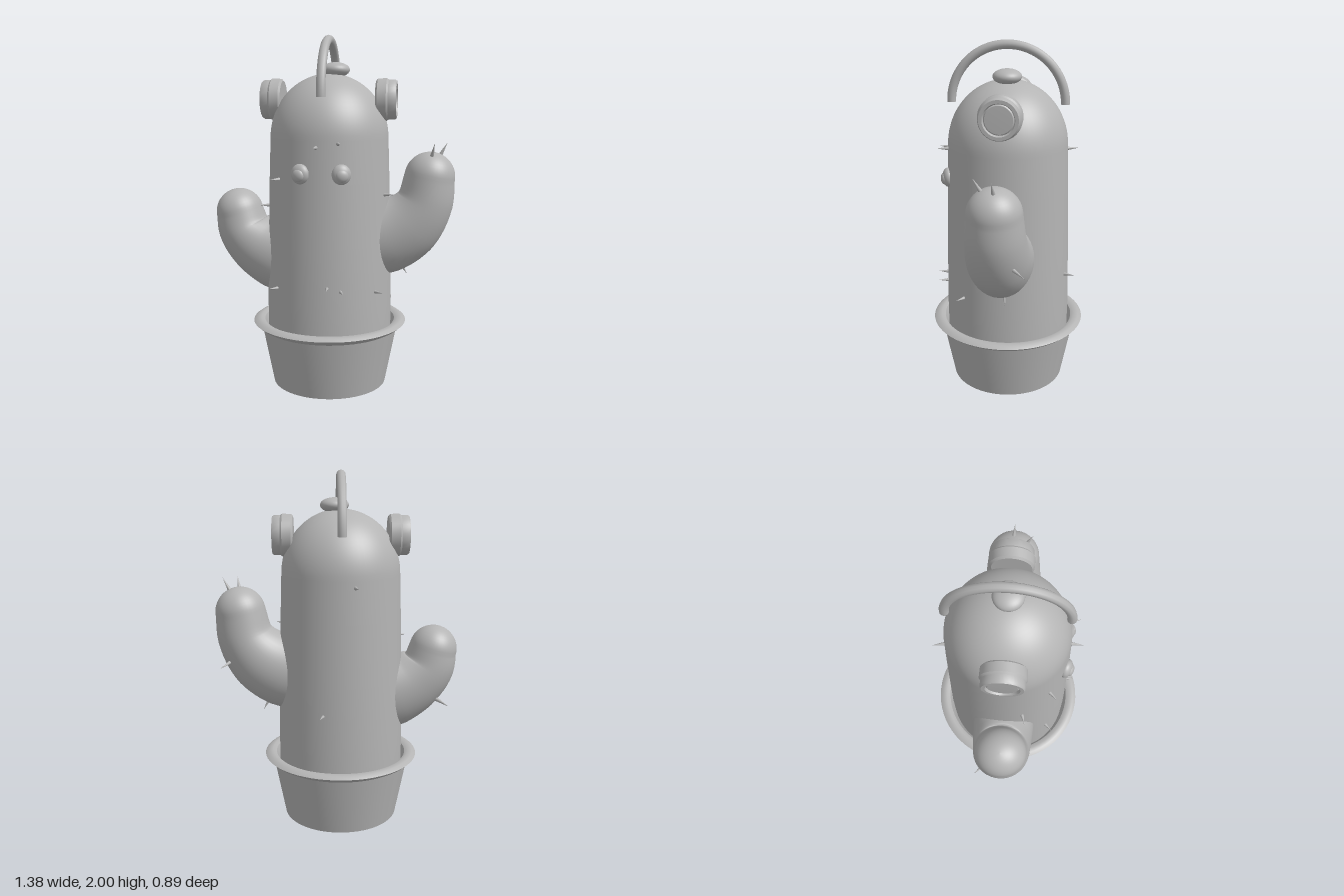
import * as THREE from 'three';
import { toCreasedNormals } from 'three/addons/utils/BufferGeometryUtils.js';

const CX = -0.025; // axis of the pot and trunk
const clay = new THREE.MeshStandardMaterial({ color: 0xb4b4b4 });
clay.name = 'grey clay';

const V = (x, y, z) => new THREE.Vector3(x, y, z);

function part(group, name, geometry, x = 0, y = 0, z = 0) {
  const mesh = new THREE.Mesh(geometry, clay);
  mesh.name = name;
  mesh.position.set(x, y, z);
  group.add(mesh);
  return mesh;
}

const lathe = (points, segments = 64) =>
  new THREE.LatheGeometry(points.map(([r, y]) => new THREE.Vector2(r, y)), segments);

const ellipsoid = (rx, ry, rz) => new THREE.SphereGeometry(1, 32, 20).scale(rx, ry, rz);

// Rounded limb: elliptical sections along a bent centre line, closed by a dome.
// Each station is [x, y, radius in the bend plane, radius in z].
function limb(stations) {
  const path = new THREE.CatmullRomCurve3(stations.map(([x, y]) => V(x, y, 0)));
  const sizes = new THREE.CatmullRomCurve3(stations.map(([, , a, b]) => V(a, b, 0)));
  const rows = 24, capRows = 12, around = 40;
  const positions = [], index = [];
  const ring = (c, t, a, b) => {
    for (let j = 0; j < around; j++) {
      const q = (j / around) * Math.PI * 2;
      const s = a * Math.cos(q);
      positions.push(c.x - t.y * s, c.y + t.x * s, -0.005 + b * Math.sin(q));
    }
  };
  for (let i = 0; i <= rows; i++) {
    const s = sizes.getPoint(i / rows);
    ring(path.getPoint(i / rows), path.getTangent(i / rows), s.x, s.y);
  }
  const [ex, ey, ea, eb] = stations[stations.length - 1];
  const t = path.getTangent(1);
  for (let i = 1; i <= capRows; i++) {
    const q = (i / capRows) * Math.PI / 2;
    const k = Math.max(Math.cos(q), 0.001);
    ring(V(ex, ey, 0).addScaledVector(t, ea * Math.sin(q)), t, ea * k, eb * k);
  }
  for (let i = 0; i < rows + capRows; i++) {
    for (let j = 0; j < around; j++) {
      const a = i * around + j, b = i * around + ((j + 1) % around);
      index.push(a, b, a + around, b, b + around, a + around);
    }
  }
  const g = new THREE.BufferGeometry();
  g.setAttribute('position', new THREE.Float32BufferAttribute(positions, 3));
  g.setIndex(index);
  g.computeVertexNormals();
  return g;
}

// Thin cone from a base point to a tip
function spine(group, base, tip) {
  const dir = tip.clone().sub(base);
  const length = dir.length();
  const g = new THREE.ConeGeometry(0.012, length, 10).translate(0, length / 2, 0);
  const mesh = part(group, 'spine', g, base.x, base.y, base.z);
  mesh.quaternion.setFromUnitVectors(V(0, 1, 0), dir.normalize());
}

export function createModel() {
  const model = new THREE.Group();
  model.name = 'pottedCactus';

  // Pot with a flared lip and a hollow inside
  part(model, 'pot', toCreasedNormals(lathe([
    [0, 0], [0.33, 0], [0.395, 0.335], [0.425, 0.352], [0.445, 0.37],
    [0.425, 0.384], [0.4, 0.388], [0.38, 0.378], [0.368, 0.35], [0.35, 0.26], [0, 0.26],
  ]), 0.7), CX);

  // Trunk with a domed top
  const dome = [];
  for (let i = 0; i <= 20; i++) {
    const q = (i / 20) * Math.PI / 2;
    dome.push([0.335 * Math.cos(q), 1.43 + 0.36 * Math.sin(q)]);
  }
  part(model, 'trunk', lathe([[0.358, 0.25], [0.36, 0.5], [0.352, 0.85], [0.343, 1.2], ...dome]), CX);
  part(model, 'topKnob', ellipsoid(0.08, 0.042, 0.08), 0.01, 1.81, 0);

  // Arms, the left one taller
  part(model, 'leftArm', limb([
    [0.18, 0.85, 0.22, 0.18], [0.31, 0.875, 0.215, 0.178], [0.43, 0.945, 0.195, 0.172],
    [0.515, 1.06, 0.162, 0.16], [0.545, 1.215, 0.142, 0.145],
  ]));
  part(model, 'rightArm', limb([
    [-0.23, 0.73, 0.23, 0.18], [-0.34, 0.755, 0.215, 0.178], [-0.45, 0.81, 0.185, 0.17],
    [-0.53, 0.89, 0.155, 0.16], [-0.56, 0.995, 0.136, 0.145],
  ]));

  // Headset: an ear cup on each side and a band from front to back
  for (const side of [-1, 1]) {
    const g = toCreasedNormals(lathe([
      [0, 0.265], [0.105, 0.265], [0.116, 0.275], [0.118, 0.325], [0.11, 0.335],
      [0.11, 0.37], [0.104, 0.38], [0.086, 0.38], [0.08, 0.366], [0.074, 0.372], [0, 0.374],
    ], 40), 0.6);
    part(model, side > 0 ? 'leftEarCup' : 'rightEarCup', g, CX, 1.645, 0).rotation.z = -side * Math.PI / 2;
  }
  const band = new THREE.TorusGeometry(0.315, 0.025, 10, 48, Math.PI).rotateY(Math.PI / 2);
  part(model, 'headBand', band, CX, 1.66, 0);
  for (const z of [-0.315, 0.315]) {
    part(model, 'bandEnd', new THREE.CircleGeometry(0.025, 10).rotateX(Math.PI / 2), CX, 1.66, z);
  }

  // Eyes with raised pupils
  for (const side of [-1, 1]) {
    const eye = new THREE.Group();
    eye.name = side > 0 ? 'leftEye' : 'rightEye';
    eye.position.set(CX + side * 0.111, 1.255, 0.322);
    eye.rotation.y = side * 0.3;
    part(eye, 'eyeball', ellipsoid(0.052, 0.055, 0.034));
    part(eye, 'pupil', ellipsoid(0.034, 0.034, 0.02), 0, -0.006, 0.023);
    model.add(eye);
  }

  // Spines on the trunk: [degrees round from the front, height]
  for (const [deg, y] of [
    [-4, 1.395], [16, 1.415], [-45, 1.215], [-73, 1.05], [70, 1.125], [6, 0.64],
    [18, 0.62], [-46, 0.605], [53, 0.595], [192, 1.395], [163, 0.695],
  ]) {
    const a = THREE.MathUtils.degToRad(deg), r = 0.355 - 0.02 * (y - 0.4);
    const at = (d, h) => V(CX + Math.sin(a) * d, h, Math.cos(a) * d);
    spine(model, at(r - 0.01, y), at(r + 0.065, y + 0.003));
  }

  // Spines on the arms
  spine(model, V(0.555, 1.335, 0.06), V(0.57, 1.41, 0.1));
  spine(model, V(0.6, 1.335, -0.01), V(0.64, 1.41, -0.005));
  spine(model, V(0.385, 0.71, -0.03), V(0.425, 0.64, -0.042));
  spine(model, V(0.595, 0.947, -0.1), V(0.65, 0.92, -0.17));
  spine(model, V(-0.575, 0.715, -0.1), V(-0.635, 0.69, -0.16));

  return model;
}
